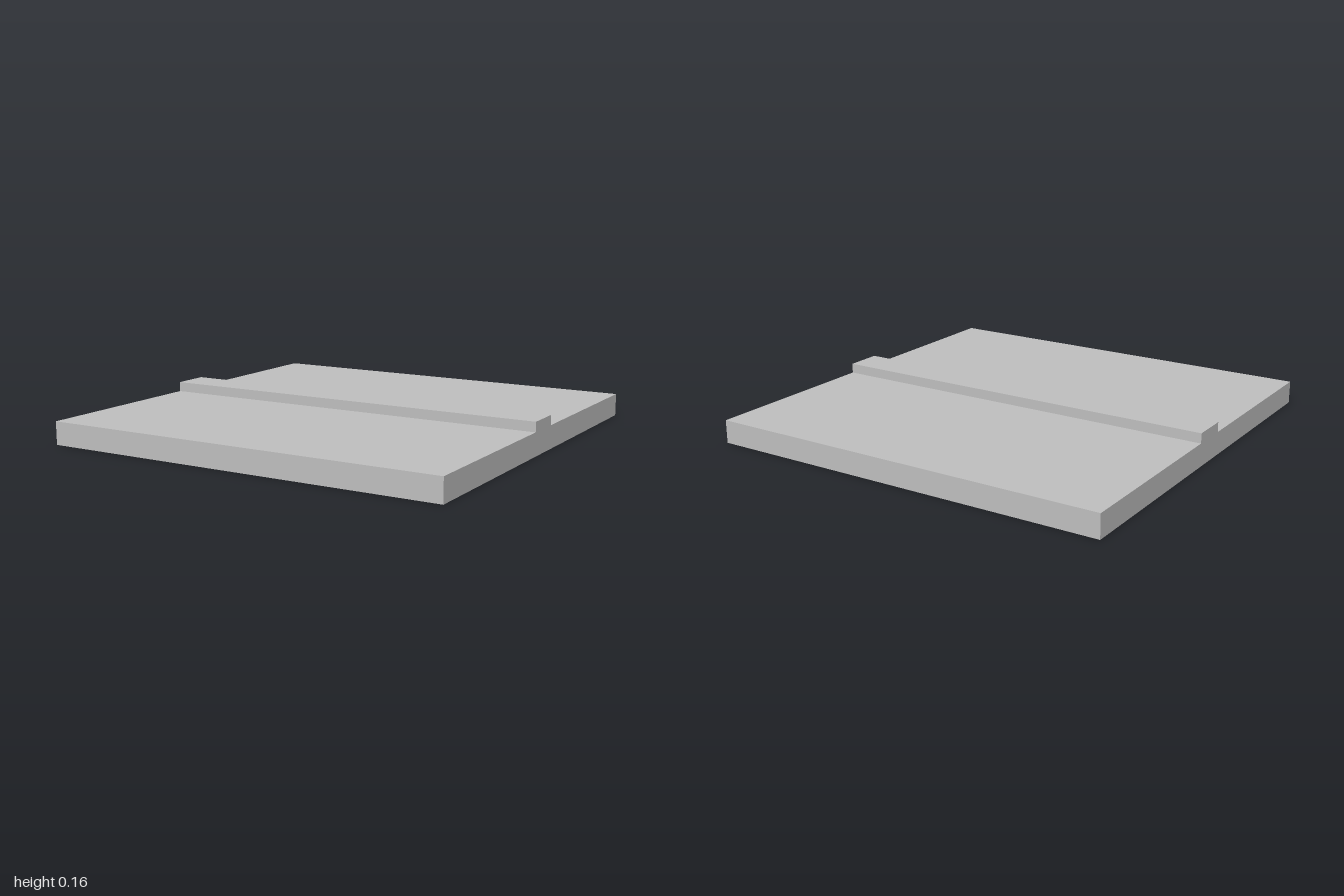
import * as THREE from 'three';

const TOP = 0.112;        // height of the flat slab
const RIDGE_TOP = 0.16;   // height of the raised ridge
const RIDGE_HALF = 0.09;  // half width of the ridge and of the bar below it
const RIM = 0.02;         // thickness of the underside rim
const RIB_HALF = 0.02;    // half thickness of the underside rib
const DEPTH = 0.04;       // depth of the underside pockets

function rectangle(PathType, x0, y0, x1, y1) {
  const p = new PathType();
  p.moveTo(x0, y0);
  p.lineTo(x1, y0);
  p.lineTo(x1, y1);
  p.lineTo(x0, y1);
  p.closePath();
  return p;
}

export function createModel() {
  const group = new THREE.Group();
  group.name = 'ridgedPanel';

  const gray = new THREE.MeshStandardMaterial({ color: 0xc0c0c0 });
  gray.name = 'light gray';

  const add = (name, geometry, y) => {
    const mesh = new THREE.Mesh(geometry, gray);
    mesh.name = name;
    mesh.position.y = y;
    group.add(mesh);
  };

  // Underside frame: rim, centre bar and rib around four shallow pockets
  const outline = rectangle(THREE.Shape, -1, -1, 1, 1);
  const inner = 1 - RIM;
  for (const [x0, x1] of [[-inner, -RIB_HALF], [RIB_HALF, inner]]) {
    for (const [z0, z1] of [[-inner, -RIDGE_HALF], [RIDGE_HALF, inner]]) {
      outline.holes.push(rectangle(THREE.Path, x0, z0, x1, z1));
    }
  }
  const frame = new THREE.ExtrudeGeometry(outline, { depth: DEPTH, bevelEnabled: false });
  frame.rotateX(-Math.PI / 2);
  add('undersideFrame', frame, 0);

  // Solid slab above the pockets
  add('slab', new THREE.BoxGeometry(2, TOP - DEPTH, 2), (TOP + DEPTH) / 2);

  // Raised ridge across the full width
  add('ridge', new THREE.BoxGeometry(2, RIDGE_TOP - TOP, 2 * RIDGE_HALF), (RIDGE_TOP + TOP) / 2);

  return group;
}
